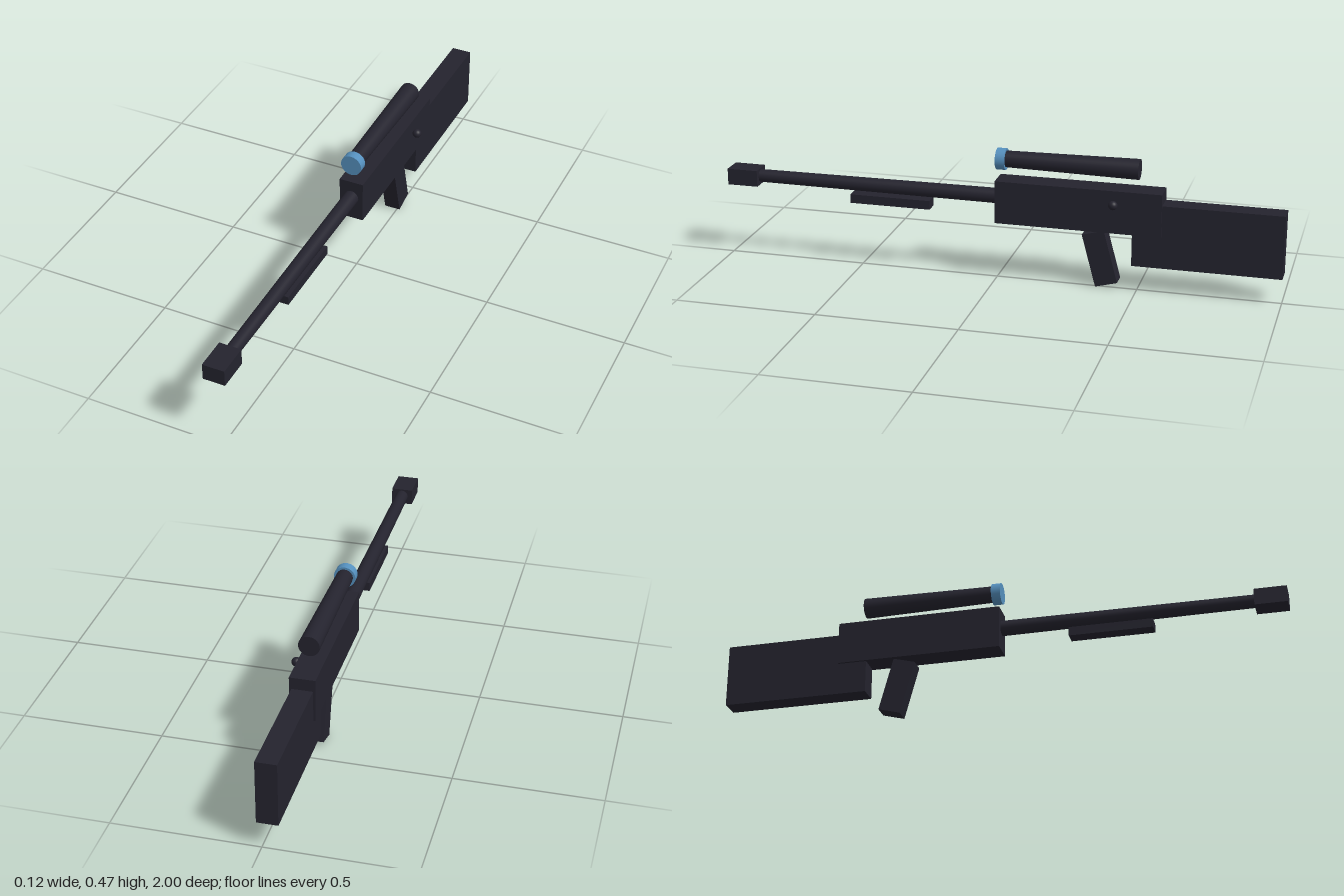
import * as THREE from 'three';

export function createModel() {
  const model = new THREE.Group();
  model.name = 'scopedRifle';
  const CX = -0.019; // centre line of the gun

  const gunmetal = new THREE.MeshStandardMaterial({ color: 0x24232e });
  gunmetal.name = 'gunmetal';
  const lensBlue = new THREE.MeshStandardMaterial({ color: 0x5590be });
  lensBlue.name = 'lens blue';

  function add(name, geometry, material, x, y, z) {
    const mesh = new THREE.Mesh(geometry, material);
    mesh.name = name;
    mesh.position.set(x, y, z);
    model.add(mesh);
    return mesh;
  }

  // Box on the centre line, given its width and its y and z ranges
  const box = (name, w, y0, y1, z0, z1) =>
    add(name, new THREE.BoxGeometry(w, y1 - y0, z1 - z0), gunmetal, CX, (y0 + y1) / 2, (z0 + z1) / 2);

  // Round part lying along z, with a radius at each end
  const tube = (name, material, rBack, rFront, y, z0, z1) =>
    add(name, new THREE.CylinderGeometry(rFront, rBack, z1 - z0, 32).rotateX(Math.PI / 2),
      material, CX, y, (z0 + z1) / 2);

  // Body, stock, muzzle and fore-end
  box('receiver', 0.088, 0.207, 0.36, -0.583, 0.004);
  box('stock', 0.072, 0.092, 0.318, -1, -0.481);
  box('muzzleBrake', 0.078, 0.263, 0.322, 0.888, 1);
  box('foreEnd', 0.049, 0.228, 0.26, 0.246, 0.54);

  // Grip slanting backwards
  const grip = add('grip', new THREE.BoxGeometry(0.058, 0.194, 0.08), gunmetal, CX, 0.104, -0.368);
  grip.rotation.x = THREE.MathUtils.degToRad(15);

  // Barrel
  tube('barrel', gunmetal, 0.027, 0.023, 0.294, -0.02, 0.9);

  // Scope and lens
  tube('scopeTube', gunmetal, 0.036, 0.029, 0.431, -0.497, -0.02);
  tube('scopeLens', lensBlue, 0.038, 0.038, 0.43, -0.028, 0.005);

  // Bolt knob
  add('boltKnob', new THREE.SphereGeometry(0.016, 24, 16), gunmetal, 0.046, 0.316, -0.418);

  return model;
}
